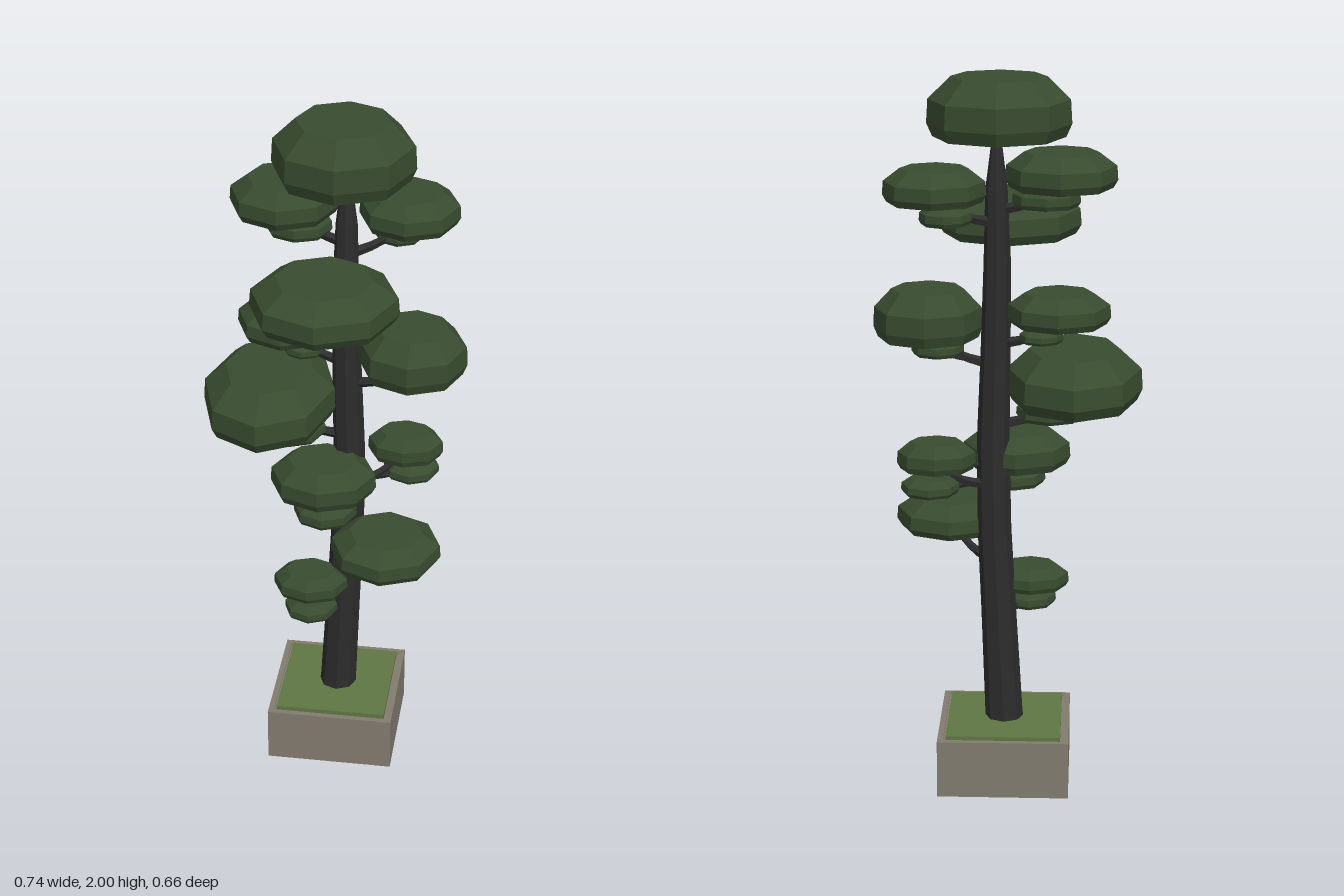
import * as THREE from 'three';

const makeMaterial = (name, color) => {
  const m = new THREE.MeshStandardMaterial({ color, flatShading: true });
  m.name = name;
  return m;
};

// Trunk stations: height, x, z, radius
const TRUNK = [
  [0, -0.01, -0.1, 0.062], [0.2, 0.008, -0.1, 0.053], [0.5, 0.022, -0.1, 0.049],
  [0.75, 0.034, -0.1, 0.047], [1.0, 0.037, -0.1, 0.045], [1.25, 0.03, -0.1, 0.041],
  [1.5, 0.025, -0.1, 0.037], [1.7, 0.027, -0.1, 0.03], [1.86, 0.026, -0.1, 0.01],
];

// Foliage tiers: [x, bottom, z, radiusX, radiusZ, height], optional smaller pad below
const TIERS = [
  { pad: [-0.147, 1.714, -0.14, 0.15, 0.152, 0.095], low: [-0.107, 1.66, -0.125, 0.092, 0.085, 0.055] },
  { pad: [0.188, 1.68, -0.18, 0.138, 0.138, 0.09], low: [0.158, 1.625, -0.2, 0.07, 0.074, 0.05] },
  { pad: [0, 1.535, 0.13, 0.2, 0.198, 0.115] },
  { pad: [-0.143, 1.345, -0.146, 0.14, 0.14, 0.085], low: [-0.095, 1.29, -0.13, 0.06, 0.06, 0.035] },
  { pad: [0.216, 1.285, -0.066, 0.15, 0.151, 0.135], low: [0.188, 1.243, -0.09, 0.072, 0.07, 0.044] },
  { pad: [-0.185, 1.115, -0.08, 0.187, 0.25, 0.145], low: [-0.12, 1.06, -0.07, 0.095, 0.095, 0.05] },
  { pad: [-0.025, 0.91, -0.015, 0.15, 0.132, 0.1], low: [-0.015, 0.845, 0.015, 0.09, 0.09, 0.055] },
  { pad: [0.188, 0.945, -0.185, 0.108, 0.085, 0.077], low: [0.205, 0.88, -0.195, 0.08, 0.08, 0.045] },
  { pad: [0.158, 0.715, 0.015, 0.157, 0.156, 0.09] },
  { pad: [-0.065, 0.555, -0.035, 0.108, 0.09, 0.065], low: [-0.06, 0.495, -0.01, 0.077, 0.077, 0.045] },
];

const flat = (geometry) => {
  const g = geometry.index ? geometry.toNonIndexed() : geometry;
  g.computeVertexNormals();
  return g;
};

function trunkAt(y) {
  let i = 0;
  while (i < TRUNK.length - 2 && TRUNK[i + 1][0] < y) i++;
  const a = TRUNK[i], b = TRUNK[i + 1];
  return new THREE.Vector3(a[1], a[0], a[2])
    .lerp(new THREE.Vector3(b[1], b[0], b[2]), (y - a[0]) / (b[0] - a[0]));
}

// Octagonal trunk that bends and tapers through its stations
function trunkGeometry() {
  const n = TRUNK.length - 1;
  const g = new THREE.CylinderGeometry(1, 1, 1, 8, n);
  const p = g.attributes.position;
  for (let i = 0; i < p.count; i++) {
    const [y, x, z, r] = TRUNK[Math.round((p.getY(i) + 0.5) * n)];
    p.setXYZ(i, x + p.getX(i) * r, y, z + p.getZ(i) * r);
  }
  return flat(g);
}

// Thin tube narrowing from r0 to r1
function branchGeometry(points, r0, r1) {
  const steps = 6, sides = 5;
  const curve = new THREE.CatmullRomCurve3(points);
  const g = new THREE.TubeGeometry(curve, steps, 1, sides, false);
  const p = g.attributes.position, v = new THREE.Vector3();
  for (let i = 0; i < p.count; i++) {
    const t = Math.floor(i / (sides + 1)) / steps;
    const c = curve.getPointAt(t);
    v.fromBufferAttribute(p, i).sub(c).multiplyScalar(r0 + (r1 - r0) * t).add(c);
    p.setXYZ(i, v.x, v.y, v.z);
  }
  return flat(g);
}

export function createModel() {
  const leaf = makeMaterial('dark foliage', 0x384b2f);
  const bark = makeMaterial('dark bark', 0x2d2c2d);
  const stone = makeMaterial('planter stone', 0x827b6f);
  const grass = makeMaterial('grass', 0x5f7643);

  const model = new THREE.Group();
  model.name = 'planterTree';
  const add = (name, geometry, material, parent = model) => {
    const mesh = new THREE.Mesh(geometry, material);
    mesh.name = name;
    parent.add(mesh);
    return mesh;
  };

  // Hollow square planter, open below, with a raised bed of grass
  const square = (C, s) => new C([[-s, -s], [s, -s], [s, s], [-s, s]].map(([x, y]) => new THREE.Vector2(x, y)));
  const frame = square(THREE.Shape, 0.183);
  frame.holes.push(square(THREE.Path, 0.167));
  const walls = new THREE.ExtrudeGeometry(frame, { depth: 0.165, bevelEnabled: false });
  walls.rotateX(-Math.PI / 2);
  add('planter', walls, stone).position.set(0.005, 0.012, -0.1);
  add('grassBed', new THREE.BoxGeometry(0.32, 0.03, 0.32), grass).position.set(0.005, 0.17, -0.1);
  add('planterLedge', new THREE.BoxGeometry(0.335, 0.015, 0.335), stone).position.set(0.005, 0.164, -0.1);

  add('trunk', trunkGeometry(), bark);

  // Foliage pads share one faceted dome
  const profile = [[0, 0], [0.92, 0], [1, 0.22], [0.98, 0.62], [0.66, 1], [0, 1]];
  const dome = flat(new THREE.LatheGeometry(profile.map(([x, y]) => new THREE.Vector2(x, y)), 8));
  const addPad = (name, [x, y, z, rx, rz, h], parent) => {
    const pad = add(name, dome, leaf, parent);
    pad.position.set(x, y, z);
    pad.scale.set(rx, h, rz);
  };
  addPad('crown', [0.02, 1.84, -0.09, 0.194, 0.195, 0.16], model);

  // Each tier has a crooked branch and, where present, a lower pad on a twig
  TIERS.forEach(({ pad, low }, i) => {
    const tier = new THREE.Group();
    tier.name = `tier${i + 1}`;
    model.add(tier);
    addPad('foliagePad', pad, tier);
    const [x, y, z, , , h] = pad;
    const start = trunkAt(y - 0.07);
    const end = new THREE.Vector3(x, y + h * 0.3, z);
    const knee = start.clone().lerp(end, 0.4).setY(y - 0.055);
    const elbow = start.clone().lerp(end, 0.75).setY(y - 0.025);
    add('branch', branchGeometry([start, knee, elbow, end], 0.016, 0.008), bark, tier);
    const tip = low
      ? new THREE.Vector3(low[0], low[1] + low[5] * 0.4, low[2])
      : knee.clone().lerp(end, 0.35).add(new THREE.Vector3(0.025, 0.02, -0.01));
    const mid = knee.clone().lerp(tip, 0.5);
    mid.y -= 0.008;
    add('twig', branchGeometry([knee, mid, tip], 0.01, 0.006), bark, tier);
    if (low) addPad('lowerFoliagePad', low, tier);
  });

  return model;
}
